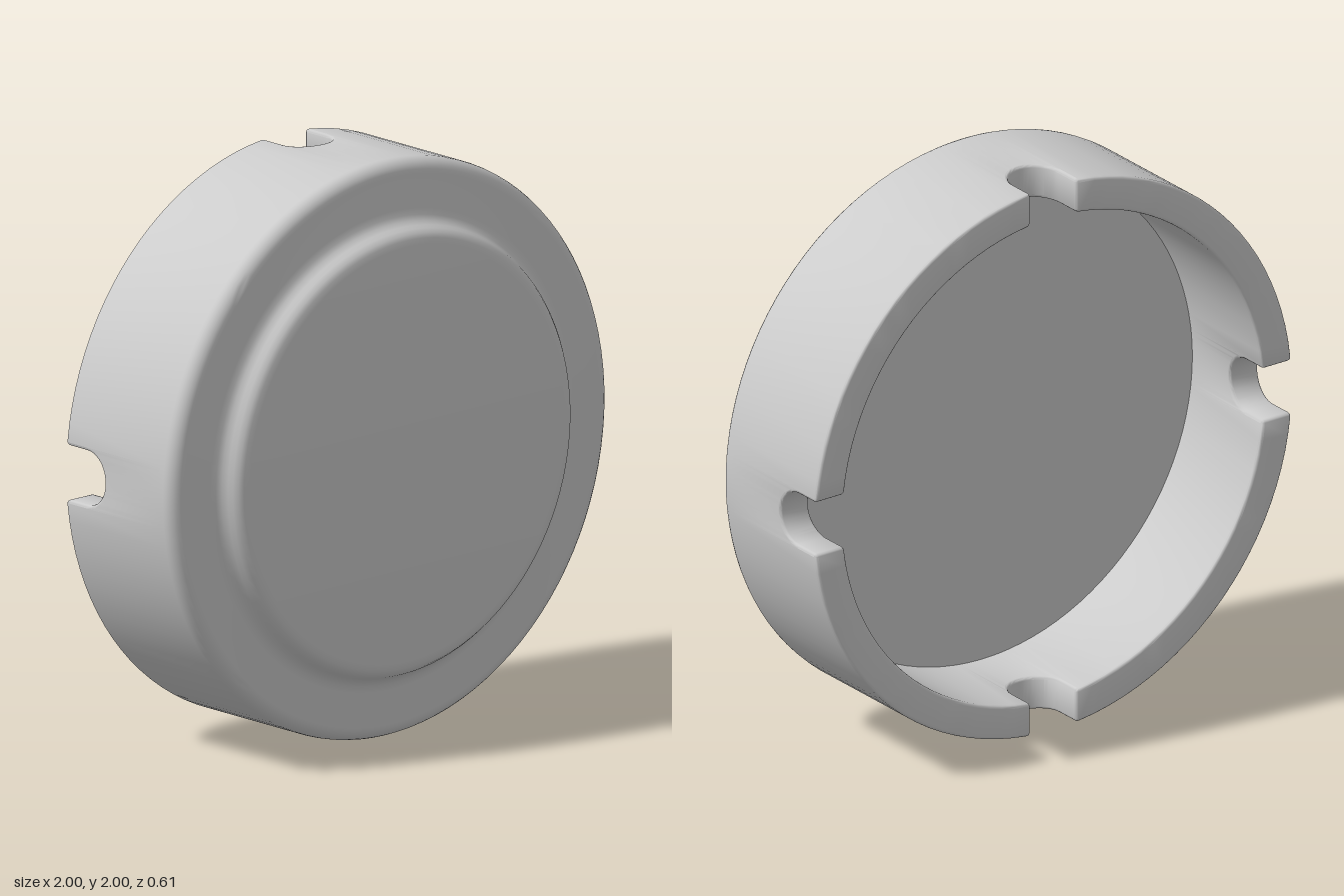
import * as THREE from 'three';
import { toCreasedNormals } from 'three/addons/utils/BufferGeometryUtils.js';

const RIM = -0.305;      // z of the open rim
const FLOOR = 0.1;       // z of the inner floor
const INNER = 0.88;      // inner wall radius
const NOTCH = 0.095;     // notch half width
const NOTCH_Z = -0.205;  // centre of the notch's round end
const CORNER = 0.015;    // rounding where notch meets rim
const BEVEL = 0.011;     // rounding of the rim's long edges
const HALF_PI = Math.PI / 2;

// Half of one notch outline: distance s from its middle, depth z, normal (ns, nz) into the wall
function notchOutline() {
  const pts = [];
  for (let i = 0; i <= 12; i++) {
    const a = (i / 12) * HALF_PI, ns = Math.sin(a), nz = Math.cos(a);
    pts.push({ s: NOTCH * ns, z: NOTCH_Z + NOTCH * nz, ns, nz });
  }
  for (let i = 0; i <= 4; i++) {
    const a = (i / 4) * HALF_PI, ns = Math.cos(a), nz = Math.sin(a);
    pts.push({ s: NOTCH + CORNER * (1 - ns), z: RIM + CORNER * (1 - nz), ns, nz });
  }
  return pts;
}

// Columns of one quadrant, from the middle of one notch to the middle of the next
function quadrantColumns() {
  const half = notchOutline(), cols = [];
  const steps = 22;
  half.forEach(p => cols.push({ ...p, end: 0 }));
  for (let i = 1; i < steps; i++) {
    cols.push({ s: NOTCH + CORNER, z: RIM, ns: 0, nz: 1, t: i / steps });
  }
  half.slice().reverse().forEach(p => cols.push({ ...p, end: 1 }));
  return cols;
}

// Angle of a column at radius r; notch sides stay parallel
function columnAngle(col, s, r) {
  const a = Math.asin(s / (r < 0.85 ? 1 : r));
  if (col.t !== undefined) return a + (HALF_PI - 2 * a) * col.t;
  return col.end ? HALF_PI - a : a;
}

// Section from floor centre, over the rim, to the front centre.
// inset: 0 = on the notch outline, 1 = moved into the wall by the bevel
function sectionRows() {
  const rows = [{ r: 0, z: FLOOR }, { r: INNER, z: FLOOR }];
  const bevel = [0, 1, 2, 3].map(i => (i / 3) * HALF_PI);
  bevel.forEach(a => rows.push({ r: INNER + BEVEL * (1 - Math.cos(a)), inset: 1 - Math.sin(a) }));
  bevel.forEach(a => rows.push({ r: 1 - BEVEL * (1 - Math.sin(a)), inset: 1 - Math.cos(a) }));
  // front edge fillet
  const f = 0.05;
  for (let i = 0; i <= 6; i++) {
    const a = (i / 6) * HALF_PI;
    rows.push({ r: 1 - f + f * Math.cos(a), z: 0.23 - f + f * Math.sin(a) });
  }
  // raised front step
  [[0.83, 0.23], [0.808, 0.234], [0.79, 0.245], [0.778, 0.262], [0.77, 0.278],
    [0.758, 0.293], [0.742, 0.302], [0.72, 0.305], [0, 0.305]]
    .forEach(([r, z]) => rows.push({ r, z }));
  return rows;
}

function bowlGeometry() {
  const rows = sectionRows(), cols = quadrantColumns(), grid = [];
  for (let q = 0; q < 4; q++) {
    for (const col of cols) {
      grid.push(rows.map(row => {
        const d = BEVEL * (row.inset ?? 1);
        const a = q * HALF_PI + columnAngle(col, col.s + d * col.ns, row.r);
        const z = row.z ?? col.z + d * col.nz;
        return new THREE.Vector3(row.r * Math.cos(a), row.r * Math.sin(a), z);
      }));
    }
  }
  const pos = [], tri = new THREE.Triangle();
  const add = (a, b, c) => {
    tri.set(a, b, c);
    if (tri.getArea() > 1e-9) for (const v of [a, b, c]) pos.push(v.x, v.y, v.z);
  };
  grid.forEach((cur, j) => {
    const next = grid[(j + 1) % grid.length];
    for (let i = 0; i < rows.length - 1; i++) {
      add(cur[i], next[i + 1], cur[i + 1]);
      add(cur[i], next[i], next[i + 1]);
    }
  });
  const geo = new THREE.BufferGeometry();
  geo.setAttribute('position', new THREE.Float32BufferAttribute(pos, 3));
  return toCreasedNormals(geo, 0.75);
}

export function createModel() {
  const group = new THREE.Group();
  group.name = 'ashtray';
  // Round dish standing on its side, open towards the back, with four rim notches
  const bowl = new THREE.Mesh(bowlGeometry(), new THREE.MeshStandardMaterial({ color: 0xcccccc }));
  bowl.name = 'notchedBowl';
  bowl.position.y = 1;
  group.add(bowl);
  return group;
}
